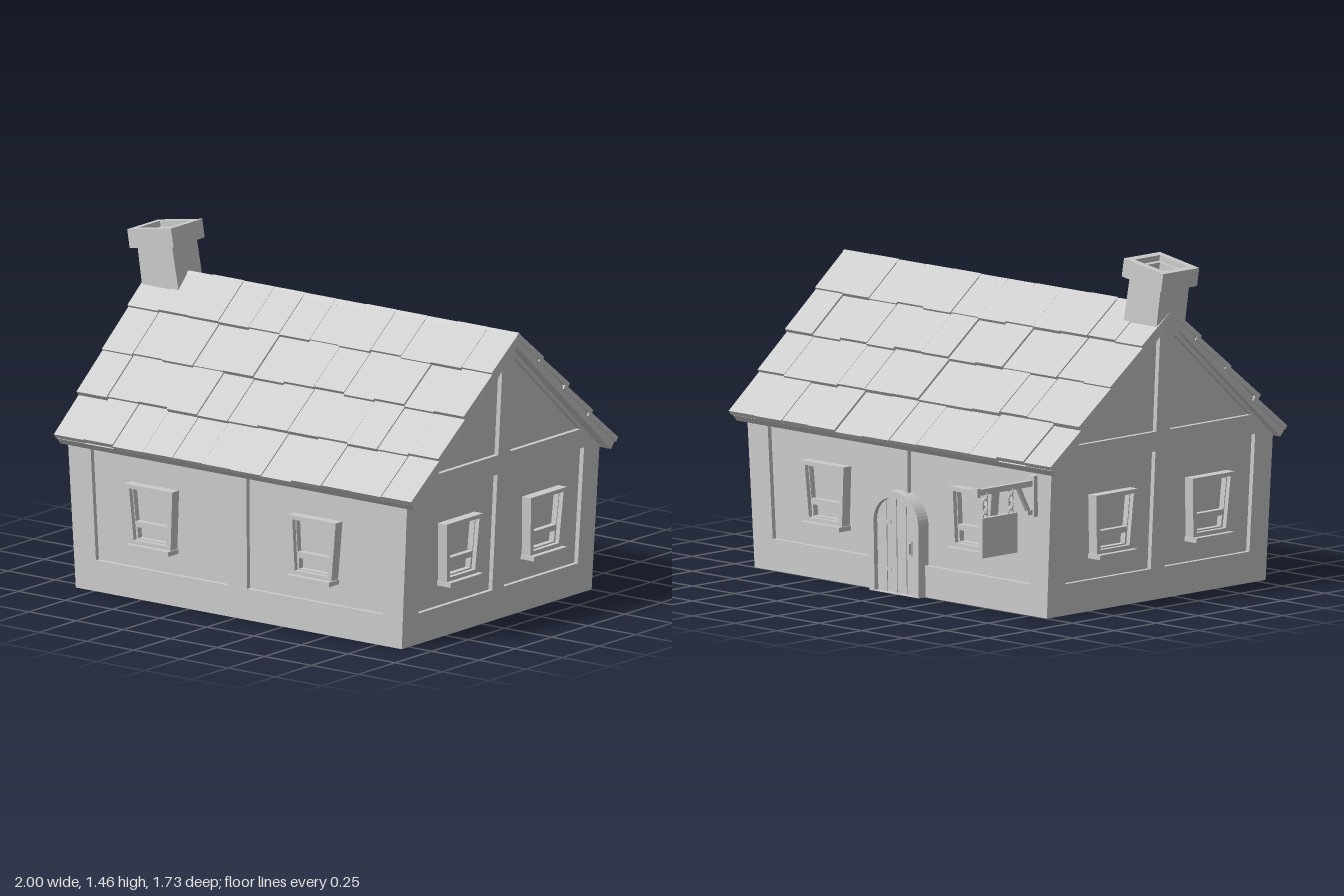
import * as THREE from 'three';
import { mergeGeometries } from 'three/addons/utils/BufferGeometryUtils.js';

const material = new THREE.MeshStandardMaterial({ color: 0xcccccc, flatShading: true });
const HX = 0.865, HZ = 0.65; // half width and half depth of the walls at the ground

const mesh = (name, geos) => {
  const list = [].concat(geos).map((g) => (g.index ? g.toNonIndexed() : g));
  const m = new THREE.Mesh(mergeGeometries(list), material);
  m.name = name;
  return m;
};

// Moves every vertex by a rule
const warp = (g, rule) => {
  const p = g.attributes.position;
  for (let i = 0; i < p.count; i++) p.setXYZ(i, ...rule(p.getX(i), p.getY(i), p.getZ(i)));
  g.computeVertexNormals();
  return g;
};
// Walls lean slightly outwards towards the top
const lean = (x, y, z) => [x * (1 + 0.065 * y) + 0.015, y, z * (1 + 0.02 * y) + 0.15];
const flare = (x, y, z) => [x * (1 + 0.04 * (y - 0.64)) + 0.025, y, z + 0.15];

const box = (x0, x1, y0, y1, z0, z1) =>
  new THREE.BoxGeometry(x1 - x0, y1 - y0, z1 - z0).translate((x0 + x1) / 2, (y0 + y1) / 2, (z0 + z1) / 2);
const poly = (pts) => new THREE.Shape(pts.map((p) => new THREE.Vector2(...p)));
const rect = (x0, x1, y0, y1) => poly([[x0, y0], [x1, y0], [x1, y1], [x0, y1]]);
const plate = (shape, holes, z0, z1) => {
  shape.holes = holes;
  return new THREE.ExtrudeGeometry(shape, { depth: z1 - z0, bevelEnabled: false, curveSegments: 14 }).translate(0, 0, z0);
};

// Window with its base on the wall surface z = 0
function windowParts(u) {
  const frame = plate(
    poly([[-0.106, 0.245], [0.106, 0.245], [0.123, 0.5], [-0.123, 0.5]]),
    [poly([[-0.086, 0.262], [0.086, 0.262], [0.1, 0.483], [-0.1, 0.483]])], -0.02, 0.026);
  const sash = plate(
    poly([[-0.09, 0.25], [0.09, 0.25], [0.104, 0.49], [-0.104, 0.49]]),
    [poly([[-0.087, 0.34], [0.087, 0.34], [0.095, 0.476], [-0.095, 0.476]]),
      poly([[-0.077, 0.268], [0.077, 0.268], [0.08, 0.315], [-0.08, 0.315]])], -0.02, 0.006);
  const sill = box(-0.112, 0.112, 0.225, 0.245, -0.02, 0.05);
  return [frame, sash, sill].map((g) => g.translate(u, 0, 0));
}

function arch(w, h, r, y0 = 0) {
  const s = new THREE.Shape();
  s.moveTo(-w, y0);
  s.lineTo(w, y0);
  s.lineTo(w, h);
  s.absellipse(0, h, w, r, 0, Math.PI, false);
  s.closePath();
  return s;
}

// Round-topped door of planks, with straps and a handle
function doorParts() {
  const W = 0.115, top = (u) => 0.3 + 0.11 * Math.sqrt(Math.max(0, 1 - (u / W) ** 2));
  const parts = [plate(arch(0.145, 0.3, 0.14), [arch(W, 0.3, 0.11, 0.004)], -0.02, 0.04),
    plate(arch(0.12, 0.3, 0.115), [], -0.02, 0.012)];
  const n = 4, pw = (2 * W) / n;
  for (let i = 0; i < n; i++) {
    const a = -W + i * pw + 0.002, b = a + pw - 0.004, pts = [[a, 0.004], [b, 0.004]];
    for (let k = 0; k <= 4; k++) {
      const u = b + ((a - b) * k) / 4;
      pts.push([u, top(u)]);
    }
    parts.push(plate(poly(pts), [], 0.01, 0.02));
  }
  for (const y of [0.1, 0.3]) parts.push(box(-0.11, -0.03, y - 0.008, y + 0.008, 0.018, 0.025));
  parts.push(box(0.075, 0.09, 0.17, 0.235, 0.018, 0.025), box(0.078, 0.087, 0.18, 0.225, 0.025, 0.038));
  return parts;
}

function addWalls(group) {
  const d = 0.02, add = (name, geos, dist, angle) => group.add(mesh(name,
    geos.map((g) => warp(g.translate(0, 0, dist).rotateY(angle), lean))));

  // Solid core behind the timber frame
  const cz = HZ - d;
  const core = poly([[-cz, 0], [cz, 0], [cz, 0.64], [0, 1.19], [-cz, 0.64]]);
  add('wallCore', [plate(core, [], -HX + d, HX - d)], 0, Math.PI / 2);

  // Long walls: two sunk panels each
  for (const [side, angle, us] of [['front', 0, [-0.44, 0.4]], ['back', Math.PI, [-0.42, 0.43]]]) {
    const holes = [rect(-0.75, -0.052, 0.135, 0.625), rect(0.045, 0.757, 0.135, 0.625)];
    add(side + 'WallFrame', [plate(rect(-HX + 0.001, HX - 0.001, 0, 0.645), holes, -d, 0)], HZ, angle);
    us.forEach((u) => add(side + 'Window', windowParts(u), HZ, angle));
  }
  add('door', doorParts(), HZ, Math.PI);

  // Gable walls: two square panels below, two triangular ones above
  for (const [side, angle] of [['left', Math.PI / 2], ['right', -Math.PI / 2]]) {
    const holes = [];
    for (const s of [-1, 1]) {
      holes.push(poly([[0.04 * s, 0.135], [0.545 * s, 0.135], [0.545 * s, 0.64], [0.04 * s, 0.64]]));
      holes.push(poly([[0.04 * s, 0.725], [0.515 * s, 0.725], [0.04 * s, 1.135]]));
    }
    const outline = poly([[-HZ, 0], [HZ, 0], [HZ, 0.645], [0, 1.205], [-HZ, 0.645]]);
    add(side + 'GableFrame', [plate(outline, holes, -d, 0)], HX, angle);
    for (const u of [-0.285, 0.285]) add(side + 'Window', windowParts(u), HX, angle);
  }
}

function addRoof(group) {
  const run = 0.705, rise = 0.608, L = Math.hypot(run, rise), slope = Math.atan2(rise, run);
  const at = (t, n) => [t * Math.cos(slope) + n * Math.sin(slope), 1.26 - t * Math.sin(slope) + n * Math.cos(slope)];
  const flip = ([z, y]) => [-z, y];

  // Roof deck, a folded slab
  const ridge = (n) => [0, 1.26 + n / Math.cos(slope)];
  const a = at(L - 0.004, -0.015), b = at(L - 0.004, -0.05);
  const deck = plate(poly([ridge(-0.015), flip(a), flip(b), ridge(-0.05), b, a]), [], -0.943, 0.943);
  group.add(mesh('roofDeck', warp(deck.rotateY(Math.PI / 2), flare)));

  // Uneven shingles, the same pattern on both slopes
  let seed = 11;
  const rand = () => (seed = (seed * 16807) % 2147483647) / 2147483647;
  const cols = 12, w = 1.9 / cols, len = L / 4, tiles = [];
  for (let r = 0; r < 4; r++) {
    for (let c = 0; c < cols; c++) {
      const lift = (rand() - 0.5) * 0.009, drop = (rand() - 0.5) * 0.014;
      const t0 = r ? r * len - 0.02 : 0, t1 = (r + 1) * len + drop, x = -0.95 + (c + 0.5) * w;
      for (const s of [1, -1]) {
        const tile = new THREE.BoxGeometry(w - 0.001, 0.022, t1 - t0).rotateX(-0.06);
        tile.translate(x * s, -0.008 + lift, (t0 + t1) / 2).rotateX(slope).translate(0, 1.26, 0);
        if (s < 0) tile.rotateY(Math.PI);
        tiles.push(warp(tile, flare));
      }
    }
  }
  group.add(mesh('shingles', tiles));
}

// Leaning hollow chimney
function addChimney(group) {
  const ring = (w, dz, iw, idz, y0, y1) =>
    plate(rect(-w, w, -dz, dz), [rect(-iw, iw, -idz, idz)], y0, y1).rotateX(-Math.PI / 2);
  const chimney = new THREE.Group();
  chimney.name = 'chimney';
  const stack = warp(ring(0.092, 0.085, 0.066, 0.06, -0.25, 0.015), (x, y, z) => [x * (1 - 0.2 * y), y, z]);
  chimney.add(mesh('chimneyStack', stack));
  chimney.add(mesh('chimneyCap', ring(0.118, 0.107, 0.085, 0.075, -0.04, 0.04)));
  chimney.position.set(-0.877, 1.398, 0.148);
  chimney.rotation.z = 0.165;
  group.add(chimney);
}

// Board hanging on chains from a bracket at the back
function addSign(group) {
  const sign = new THREE.Group();
  sign.name = 'hangingSign';
  const brace = new THREE.BoxGeometry(0.016, 0.135, 0.016).rotateX(-0.5).translate(0, 0.505, -0.572);
  sign.add(mesh('signBracket', [
    box(-0.011, 0.011, 0.56, 0.585, -0.85, -0.5),
    box(-0.018, 0.018, 0.553, 0.592, -0.862, -0.845),
    box(-0.02, 0.02, 0.43, 0.605, -0.53, -0.5),
    box(-0.012, 0.012, 0.44, 0.46, -0.555, -0.52), brace]));
  sign.add(mesh('signBoard', box(-0.01, 0.01, 0.29, 0.46, -0.825, -0.618)));
  const links = [];
  for (const z of [-0.648, -0.8]) {
    for (let i = 0; i < 4; i++) {
      const link = new THREE.TorusGeometry(0.013, 0.004, 6, 10).scale(1, 1.35, 1);
      links.push(link.rotateY(i % 2 ? 0 : Math.PI / 2).translate(0, 0.464 + i * 0.03, z));
    }
  }
  sign.add(mesh('signChains', links));
  sign.position.x = -0.782;
  group.add(sign);
}

export function createModel() {
  const house = new THREE.Group();
  house.name = 'cottage';
  addWalls(house);
  addRoof(house);
  addChimney(house);
  addSign(house);
  return house;
}
